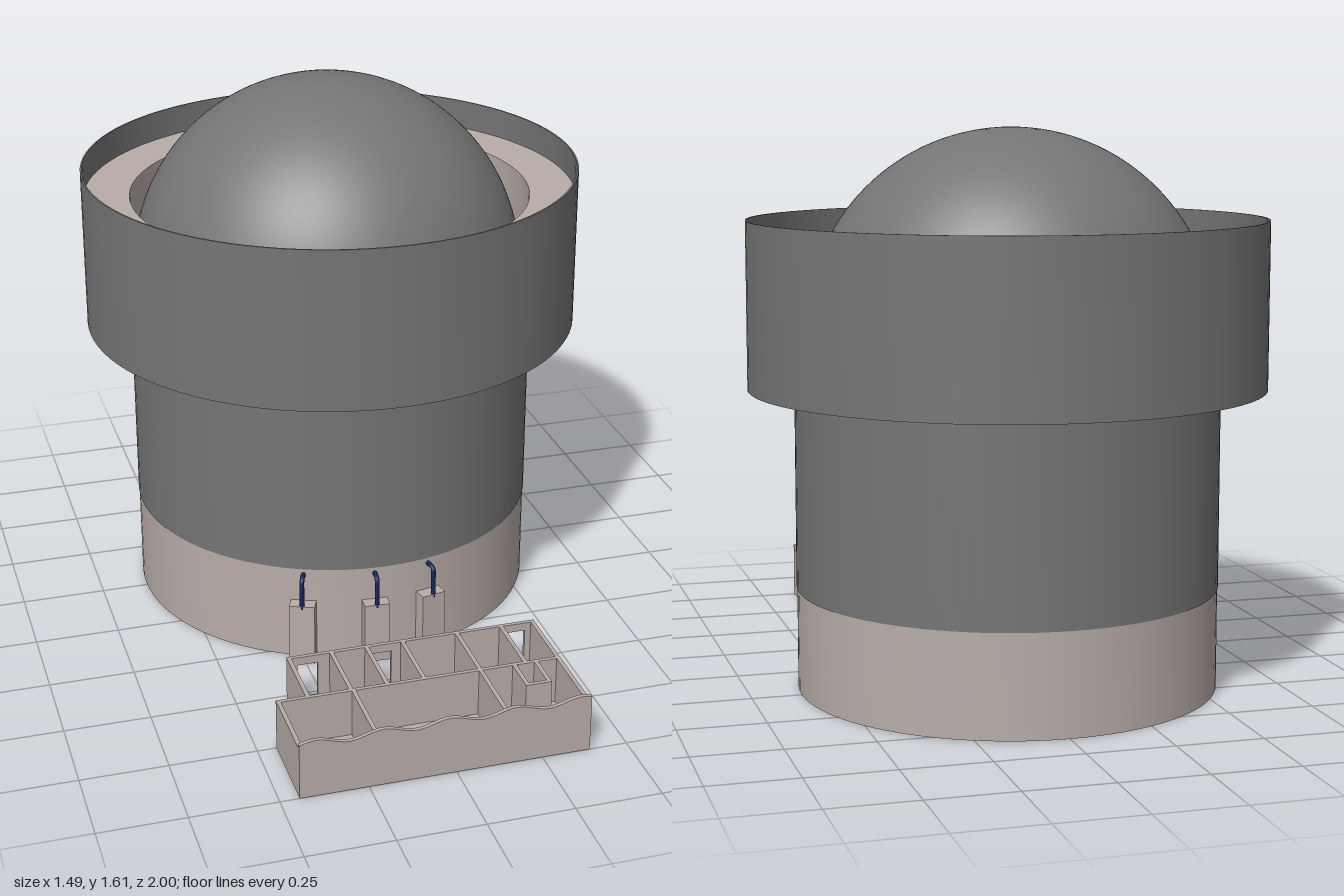
import * as THREE from 'three';
import { toCreasedNormals } from 'three/addons/utils/BufferGeometryUtils.js';

const mat = (color) => new THREE.MeshStandardMaterial({ color, side: THREE.DoubleSide });
const STONE = mat(0xb8aca8), DARK = mat(0x757575), NAVY = mat(0x14265c);

export function createModel() {
  const model = new THREE.Group();

  const add = (parent, name, geo, material, x = 0, y = 0, z = 0) => {
    const m = new THREE.Mesh(geo, material);
    m.name = name;
    m.position.set(x, y, z);
    parent.add(m);
    return m;
  };

  // Closed ring of rectangular section, from inner to outer radius
  const ring = (ri, ro, y0, y1) => {
    const pts = [[ro, y0], [ro, y1], [ri, y1], [ri, y0], [ro, y0]];
    return toCreasedNormals(new THREE.LatheGeometry(pts.map((p) => new THREE.Vector2(...p)), 96), 0.6);
  };

  // Box given by its extents
  const slab = (parent, name, x0, x1, y0, y1, z0, z1) =>
    add(parent, name, new THREE.BoxGeometry(x1 - x0, y1 - y0, z1 - z0), STONE,
      (x0 + x1) / 2, (y0 + y1) / 2, (z0 + z1) / 2);

  // Round building
  const tower = new THREE.Group();
  tower.name = 'tower';
  tower.position.set(-0.002, 0, -0.257);
  model.add(tower);
  add(tower, 'baseWall', ring(0.59, 0.608, 0, 0.295), STONE);
  add(tower, 'baseFloor', new THREE.CylinderGeometry(0.591, 0.591, 0.015, 96), STONE, 0, 0.0125);
  add(tower, 'drumWall', ring(0.6, 0.61, 0.295, 0.87), DARK);
  add(tower, 'gallery', ring(0.61, 0.738, 0.872, 1.26), STONE);
  add(tower, 'galleryInnerWall', ring(0.6, 0.61, 0.87, 1.26), STONE);
  add(tower, 'galleryOuterWall', ring(0.738, 0.743, 0.87, 1.35), DARK);
  add(tower, 'domeFloor', new THREE.CylinderGeometry(0.6, 0.6, 0.015, 96), STONE, 0, 1.01);
  add(tower, 'dome', new THREE.SphereGeometry(0.587, 96, 32, 0, Math.PI * 2, 0, Math.PI / 2),
    DARK, -0.01, 1.022);

  // Pillars against the base, each with a pipe hooking into the wall
  const pipePath = new THREE.CurvePath();
  const v = (y, z) => new THREE.Vector3(0, y, z);
  pipePath.add(new THREE.LineCurve3(v(0.18, 0.642), v(0.26, 0.642)));
  pipePath.add(new THREE.QuadraticBezierCurve3(v(0.26, 0.642), v(0.277, 0.642), v(0.277, 0.625)));
  pipePath.add(new THREE.LineCurve3(v(0.277, 0.625), v(0.277, 0.6)));
  for (const x of [-0.255, -0.04, 0.138]) {
    const outlet = new THREE.Group();
    outlet.name = 'pipeOutlet';
    outlet.rotation.y = Math.asin(x / 0.642);
    tower.add(outlet);
    slab(outlet, 'pillar', -0.038, 0.038, 0, 0.19, 0.59, 0.648);
    add(outlet, 'pipe', new THREE.TubeGeometry(pipePath, 30, 0.007, 10), NAVY);
  }

  // Open-topped block of rooms in front
  const rooms = new THREE.Group();
  rooms.name = 'roomBlock';
  model.add(rooms);
  const H = 0.155, T = 0.012;
  slab(rooms, 'frontFloor', -0.445, 0.39, 0, 0.012, 0.75, 1);
  slab(rooms, 'backFloor', -0.36, 0.39, 0, 0.012, 0.54, 0.75);
  slab(rooms, 'middleWall', -0.445, 0.39, 0.012, H, 0.75, 0.75 + T);

  // Walls running front to back: [x, z start, z end]
  const walls = [
    [-0.36, 0.54, 0.75], [-0.235, 0.54, 0.75], [-0.13, 0.54, 0.75], [-0.022, 0.54, 0.75],
    [0.144, 0.54, 0.75], [0.28, 0.54, 0.75], [-0.445, 0.762, 0.99], [-0.23, 0.762, 0.99],
    [0.144, 0.762, 0.99], [0.378, 0.54, 0.99], [0.245, 0.762, 0.87], [0.31, 0.762, 0.87],
  ];
  for (const [x, z0, z1] of walls) slab(rooms, 'partition', x, x + T, 0.012, H, z0, z1);
  slab(rooms, 'closetWall', 0.245, 0.322, 0.012, H, 0.86, 0.872);

  // Back wall with doorways
  const back = new THREE.Shape();
  back.moveTo(-0.36, 0.012).lineTo(0.39, 0.012).lineTo(0.39, H).lineTo(-0.36, H).closePath();
  for (const x of [-0.3, -0.08, 0.33]) {
    const door = new THREE.Path();
    door.moveTo(x - 0.03, 0.018).lineTo(x - 0.03, 0.13).lineTo(x + 0.03, 0.13).lineTo(x + 0.03, 0.018).closePath();
    back.holes.push(door);
  }
  add(rooms, 'backWall', new THREE.ExtrudeGeometry(back, { depth: T, bevelEnabled: false }), STONE, 0, 0, 0.54);

  // Front wall with a wavy top
  const front = new THREE.Shape();
  front.moveTo(-0.445, 0).lineTo(0.39, 0);
  for (let i = 0; i <= 60; i++) {
    const x = 0.39 - (0.835 * i) / 60;
    front.lineTo(x, 0.166 + 0.01 * Math.cos(((x + 0.4) / 0.19) * Math.PI * 2));
  }
  front.closePath();
  add(rooms, 'wavyFrontWall', new THREE.ExtrudeGeometry(front, { depth: T, bevelEnabled: false }), STONE, 0, 0, 1 - T);

  return model;
}
